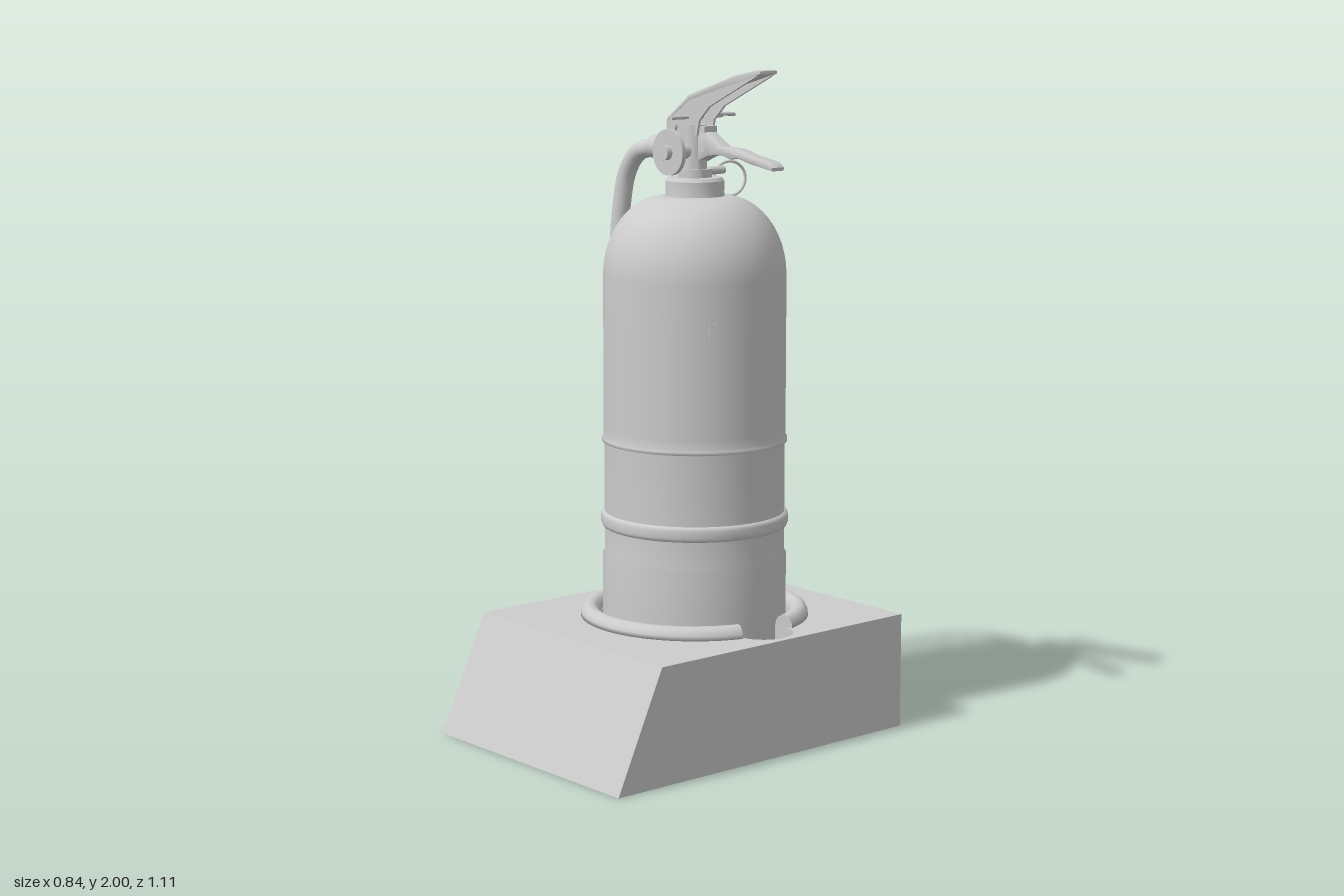
import * as THREE from 'three';
import { toCreasedNormals } from 'three/addons/utils/BufferGeometryUtils.js';

const CZ = -0.088; // depth of the cylinder axis
const rad = THREE.MathUtils.degToRad;
const V2 = (x, y) => new THREE.Vector2(x, y);
const V3 = (x, y, z) => new THREE.Vector3(x, y, z);

export function createModel() {
  const grey = new THREE.MeshStandardMaterial({ color: 0xcccccc, side: THREE.DoubleSide });
  grey.name = 'light grey';
  const model = new THREE.Group();
  model.name = 'extinguisherOnStand';

  const add = (name, geo, x = 0, y = 0, z = 0, parent = model) => {
    const m = new THREE.Mesh(geo, grey);
    m.name = name;
    m.position.set(x, y, z);
    parent.add(m);
    return m;
  };
  const lathe = (pts, seg = 48, start = 0, len = Math.PI * 2) =>
    new THREE.LatheGeometry(pts.map(p => V2(...p)), seg, start, len);
  const tube = (pts, r, seg = 40, sides = 14) =>
    new THREE.TubeGeometry(new THREE.CatmullRomCurve3(pts.map(p => V3(...p))), seg, r, sides);
  const rod = (rTop, rBottom, h, axis) => {
    const g = new THREE.CylinderGeometry(rTop, rBottom, h, 24);
    if (axis === 'z') g.rotateX(Math.PI / 2);
    if (axis === 'x') g.rotateZ(Math.PI / 2);
    return g;
  };
  const sidePlate = (pts, depth, bevel = 0) => {
    const g = new THREE.ExtrudeGeometry(new THREE.Shape(pts.map(p => V2(...p))), {
      depth: depth - 2 * bevel, bevelEnabled: bevel > 0, bevelSize: bevel, bevelThickness: bevel,
      bevelOffset: -bevel, bevelSegments: 2,
    });
    g.translate(0, 0, -depth / 2 + bevel);
    return toCreasedNormals(g, 0.6);
  };

  // Outline of the well: a circle with a finger lobe on each side
  const R = 0.285, r = 0.09, d = 0.31;
  const ix = (d * d + R * R - r * r) / (2 * d);
  const iz = Math.sqrt(R * R - ix * ix);
  const a = Math.atan2(iz, ix), b = Math.atan2(iz, ix - d);
  const outline = [];
  const arc = (cx, radius, from, to, n) => {
    for (let i = 0; i < n; i++) {
      const t = from + (to - from) * i / n;
      outline.push(V2(cx + radius * Math.cos(t), -CZ + radius * Math.sin(t)));
    }
  };
  arc(0, R, a, Math.PI - a, 24);
  arc(-d, r, Math.PI - b, Math.PI + b, 18);
  arc(0, R, Math.PI + a, 2 * Math.PI - a, 24);
  arc(d, r, -b, b, 18);

  // Stand: pierced top, four walls with a sloping front, open underneath
  const topShape = new THREE.Shape([V2(-0.42, -0.395), V2(0.42, -0.395), V2(0.42, 0.555), V2(-0.42, 0.555)]);
  topShape.holes.push(new THREE.Path(outline));
  add('standTop', new THREE.ShapeGeometry(topShape).rotateX(-Math.PI / 2), 0, 0.35);

  const low = [[-0.42, 0, 0.555], [0.42, 0, 0.555], [0.42, 0, -0.555], [-0.42, 0, -0.555]];
  const high = [[-0.42, 0.35, 0.395], [0.42, 0.35, 0.395], [0.42, 0.35, -0.555], [-0.42, 0.35, -0.555]];
  const stripGeo = (bottom, top) => {
    const pos = [], n = bottom.length;
    for (let i = 0; i < n; i++) {
      const j = (i + 1) % n;
      pos.push(...bottom[i], ...bottom[j], ...top[j], ...bottom[i], ...top[j], ...top[i]);
    }
    const g = new THREE.BufferGeometry();
    g.setAttribute('position', new THREE.Float32BufferAttribute(pos, 3));
    g.computeVertexNormals();
    return g;
  };
  add('standWalls', stripGeo(low, high));

  // Well sunk into the stand
  const floorY = 0.165;
  const level = y => outline.map(p => [p.x, y, -p.y]);
  add('wellWall', toCreasedNormals(stripGeo(level(floorY), level(0.35)), 0.6));
  add('wellFloor', new THREE.ShapeGeometry(new THREE.Shape(outline)).rotateX(-Math.PI / 2), 0, floorY);

  // Raised rim in two halves, interrupted at the lobes
  const rim = [[0.287, 0.35], [0.345, 0.35], [0.344, 0.363], [0.337, 0.377], [0.325, 0.386],
    [0.308, 0.386], [0.295, 0.377], [0.288, 0.363], [0.287, 0.35]];
  for (const mid of [0, 180]) {
    const from = rad(mid - 73.5), len = rad(147);
    add('rim', lathe(rim, 40, from, len), 0, 0, CZ);
    for (const phi of [from, from + len]) {
      const cap = new THREE.ShapeGeometry(new THREE.Shape(rim.slice(0, -1).map(p => V2(...p))));
      add('rimEnd', cap, 0, 0, CZ).rotation.y = phi - Math.PI / 2;
    }
  }

  // Tank with domed shoulder
  const profile = [[0, 0.17], [0.265, 0.17], [0.277, 0.19], [0.277, 0.38], [0.277, 0.54], [0.271, 0.548],
    [0.271, 0.63], [0.271, 0.67], [0.271, 0.885], [0.278, 0.887], [0.278, 0.897], [0.273, 0.902],
    [0.273, 0.93], [0.273, 1.2]];
  for (let i = 0; i <= 12; i++) {
    const t = i / 12 * Math.PI / 2;
    profile.push([0.09 + 0.183 * Math.cos(t), 1.385 + 0.235 * Math.sin(t)]);
  }
  profile.push([0, 1.62]);
  add('tank', lathe(profile, 64), 0, 0, CZ);
  const mark = add('tankMark', new THREE.BoxGeometry(0.02, 0.045, 0.006), 0.237, 1.25, CZ + 0.137);
  mark.rotation.y = Math.atan2(0.237, 0.137);

  // Strap around the tank with a loop for the hose
  const strap = (R0, w) => lathe([[R0, 0.626], [R0 + w * 0.7, 0.63], [R0 + w, 0.64], [R0 + w, 0.662],
    [R0 + w * 0.7, 0.671], [R0, 0.675]], 48);
  add('strap', strap(0.268, 0.014), 0, 0, CZ);
  add('hoseLoop', strap(0.025, 0.013), -0.317, 0, CZ);

  // Neck collar and valve body
  add('collar', toCreasedNormals(lathe([[0.09, 1.61], [0.087, 1.63], [0.087, 1.665], [0.08, 1.675],
    [0.05, 1.675], [0.05, 1.7], [0.036, 1.7], [0.036, 1.73], [0, 1.73]], 32), 0.6), 0, 0, CZ);
  add('valveBody', rod(0.036, 0.036, 0.13), 0, 1.765, CZ);
  add('valveBlock', new THREE.BoxGeometry(0.13, 0.075, 0.05), -0.005, 1.79, -0.097);

  // Pressure gauge facing the front
  add('gaugeStem', rod(0.022, 0.022, 0.1, 'z'), -0.003, 1.752, -0.04);
  add('gaugeDial', rod(0.068, 0.068, 0.014, 'z'), -0.003, 1.752, 0.009);
  add('gaugeKnob', rod(0.022, 0.022, 0.018, 'z'), -0.003, 1.752, 0.025);

  // Upper lever: folded sheet with two cheeks
  const LZ = -0.097;
  add('upperLeverTop', sidePlate([[-0.1, 1.845], [-0.1, 1.833], [0.0, 1.9], [0.08, 1.924], [0.31, 1.988],
    [0.31, 1.997], [0.295, 2.0], [0.2, 1.981], [0.0, 1.918]], 0.068, 0.003), 0, 0, LZ);
  for (const s of [-1, 1]) {
    add('upperLeverCheek', sidePlate([[-0.1, 1.84], [-0.103, 1.8], [-0.06, 1.785], [0.035, 1.8],
      [0.045, 1.845], [0.09, 1.887], [0.295, 1.982], [0.29, 1.993], [0.0, 1.912]], 0.008), 0, 0, LZ + s * 0.029);
  }

  // Lower lever with finger grips
  add('lowerLever', sidePlate([[0.02, 1.72], [0.075, 1.742], [0.13, 1.747], [0.17, 1.737], [0.2, 1.742],
    [0.25, 1.73], [0.352, 1.714], [0.354, 1.724], [0.335, 1.738], [0.25, 1.752], [0.19, 1.768],
    [0.125, 1.77], [0.06, 1.81], [0.02, 1.815]], 0.05, 0.005), 0, 0, LZ);
  add('leverPivot', rod(0.013, 0.013, 0.082, 'z'), -0.065, 1.82, LZ);

  // Safety pin through the lever and its pull loop
  add('safetyPin', rod(0.006, 0.006, 0.2, 'z'), -0.005, 1.852, -0.1);
  const loop = add('pinLoop', new THREE.TorusGeometry(0.038, 0.006, 8, 28), -0.005, 1.858, -0.195);
  loop.rotation.x = Math.PI / 2 - 0.1;

  // Wire ring hanging behind the neck
  add('ringLug', rod(0.012, 0.012, 0.1, 'z'), -0.005, 1.69, -0.155);
  const ring = add('pullRing', new THREE.TorusGeometry(0.052, 0.0045, 8, 32), -0.025, 1.66, -0.247);
  ring.rotation.y = Math.PI / 2 - 0.3;

  // Hose with coupling, ferrule and nozzle
  add('hoseCoupling', rod(0.026, 0.026, 0.08, 'x'), -0.075, 1.753, LZ);
  add('hoseCollar', rod(0.034, 0.034, 0.085, 'x'), -0.158, 1.753, LZ);
  add('hose', tube([[-0.12, 1.753, LZ], [-0.2, 1.75, LZ], [-0.27, 1.733, LZ], [-0.325, 1.67, LZ],
    [-0.35, 1.56, -0.094], [-0.36, 1.4, -0.088], [-0.355, 1.22, -0.084], [-0.337, 1.02, -0.084],
    [-0.32, 0.84, CZ], [-0.317, 0.7, CZ]], 0.028, 64, 18));
  add('hoseFerrule', rod(0.031, 0.034, 0.06), -0.317, 0.7, CZ);
  const nozzle = add('nozzle', toCreasedNormals(lathe([[0, 0.53], [0.028, 0.5], [0.037, 0.497], [0.036, 0.52],
    [0.029, 0.59], [0.027, 0.67]], 24), 0.7), -0.322, 0, CZ);
  nozzle.rotation.z = 0;
  return model;
}
